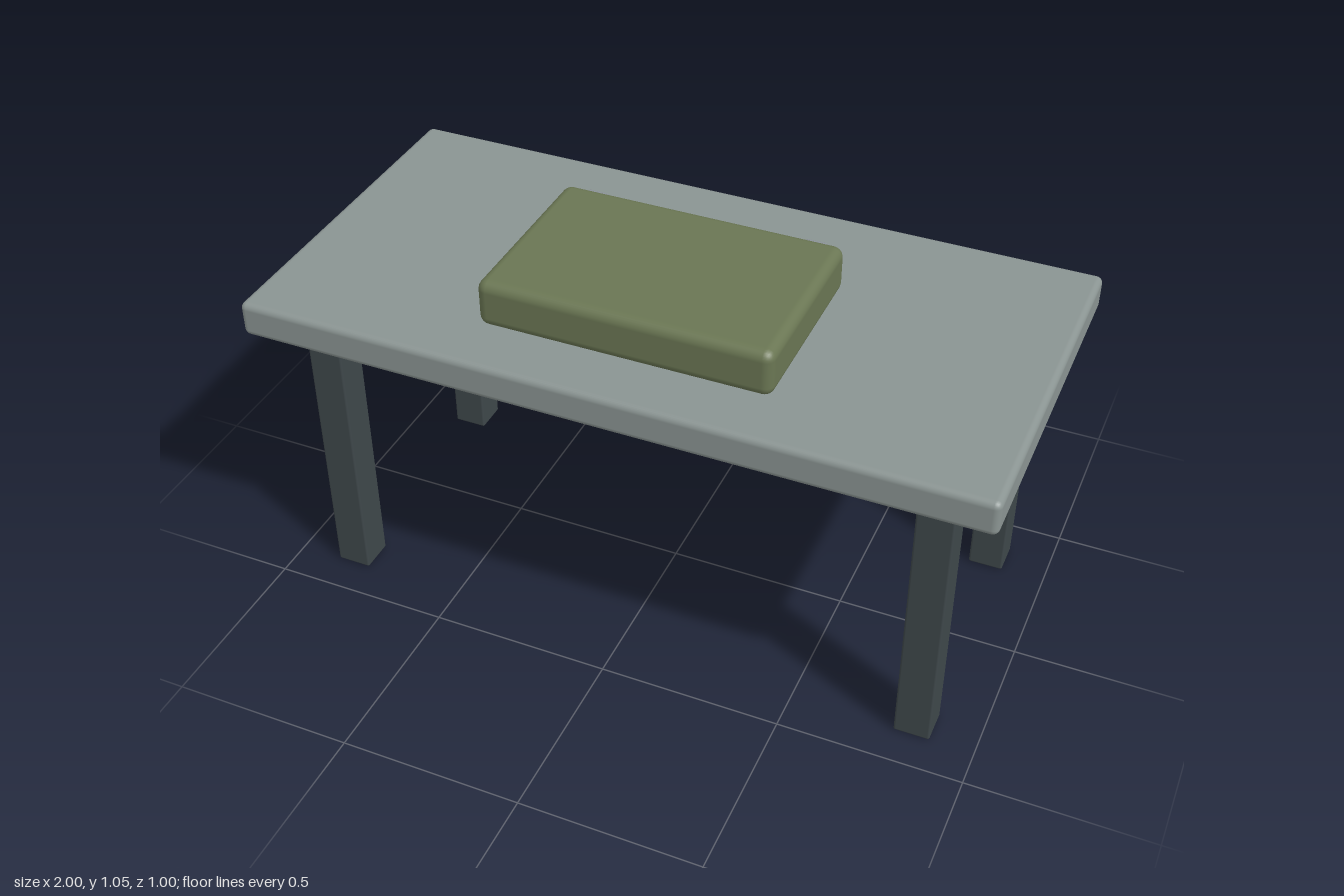
import * as THREE from 'three';
import { RoundedBoxGeometry } from 'three/addons/geometries/RoundedBoxGeometry.js';

export function createModel() {
  const model = new THREE.Group();
  model.name = 'tableWithCase';

  const paint = (color) => new THREE.MeshStandardMaterial({ color });
  const topMat = paint(0x8a9492);
  const legMat = paint(0x3e474a);
  const caseMat = paint(0x6a7653);
  const latchMat = paint(0x8b9298);

  // Rounded block given by its size and centre
  function block(name, size, centre, radius, material, parent = model) {
    const mesh = new THREE.Mesh(new RoundedBoxGeometry(...size, 3, radius), material);
    mesh.name = name;
    mesh.position.set(...centre);
    parent.add(mesh);
    return mesh;
  }

  // Table: slab and four square legs
  const table = new THREE.Group();
  table.name = 'table';
  model.add(table);
  block('tableTop', [2, 0.098, 1], [0, 0.87, 0], 0.018, topMat, table);
  for (const [side, x] of [['Left', 0.832], ['Right', -0.832]]) {
    for (const [end, z] of [['front', 0.35], ['back', -0.35]]) {
      block(`${end}${side}Leg`, [0.097, 0.83, 0.097], [x, 0.415, z], 0.006, legMat, table);
    }
  }

  // Case lying on the table, with two latches on its back edge
  const luggage = new THREE.Group();
  luggage.name = 'case';
  model.add(luggage);
  block('caseBody', [0.788, 0.131, 0.523], [0, 0.9845, 0.084], 0.028, caseMat, luggage);
  for (const [side, x] of [['left', 0.309], ['right', -0.309]]) {
    block(`${side}Latch`, [0.058, 0.082, 0.04], [x, 0.986, -0.182], 0.005, latchMat, luggage);
  }

  return model;
}
